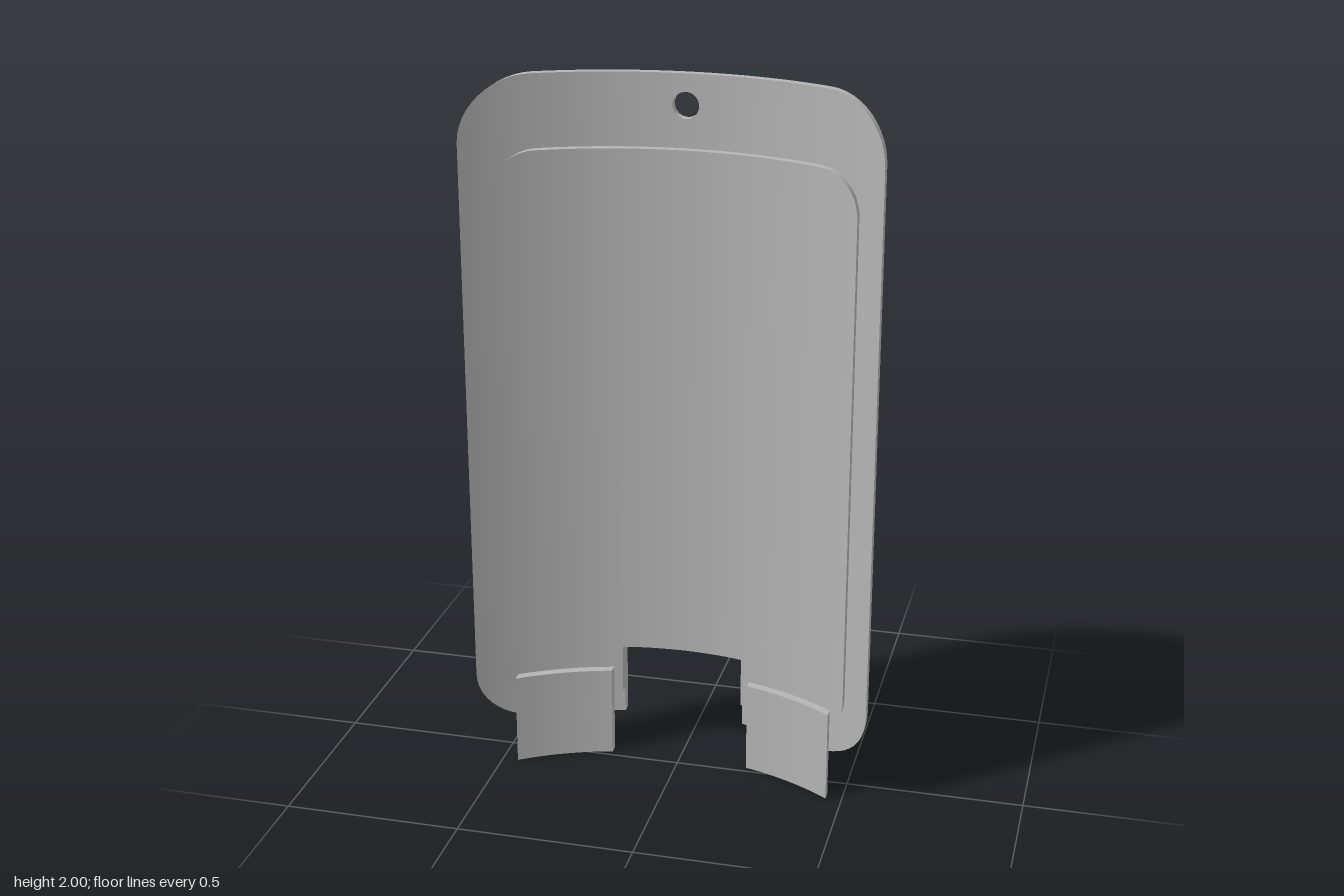
import * as THREE from 'three';
import { mergeGeometries, toCreasedNormals } from 'three/addons/utils/BufferGeometryUtils.js';

const AXIS_Z = 0.76;                       // all layers curve about this upright axis
const NOTCH_X = 0.175, NOTCH_Y = 0.33;
const HOLE_R = 0.036, HOLE_Y = 1.915;

const onArc = (x, y, r) => [x, y, AXIS_Z - Math.sqrt(r * r - x * x)];

function span(a, b, n) {
  return Array.from({ length: n + 1 }, (_, i) => a + (b - a) * i / n);
}

// Strip of quads between two rows of points
function ribbon(a, b) {
  const n = a.length, index = [];
  for (let i = 0; i < n - 1; i++) index.push(i, i + 1, n + i + 1, i, n + i + 1, n + i);
  const g = new THREE.BufferGeometry();
  g.setAttribute('position', new THREE.Float32BufferAttribute([...a, ...b].flat(), 3));
  g.setIndex(index);
  return g;
}

// Curved slab between heights lo(x) and hi(x), from radius rIn (front) to rOut (back).
// capL and capR give the heights of the end walls, if any.
function slab(xs, lo, hi, rIn, rOut, capL, capR) {
  const row = (f, r) => xs.map(x => onArc(x, f(x), r));
  const loF = row(lo, rIn), hiF = row(hi, rIn), loB = row(lo, rOut), hiB = row(hi, rOut);
  const parts = [ribbon(loF, hiF), ribbon(hiB, loB), ribbon(hiF, hiB), ribbon(loB, loF)];
  const edge = (x, y, rs) => rs.map(r => onArc(x, y, r));
  if (capL) parts.push(ribbon(edge(xs[0], capL[0], [rOut, rIn]), edge(xs[0], capL[1], [rOut, rIn])));
  const xe = xs[xs.length - 1];
  if (capR) parts.push(ribbon(edge(xe, capR[0], [rIn, rOut]), edge(xe, capR[1], [rIn, rOut])));
  return parts;
}

// Rounded plate with the bottom notch and, optionally, the round hole
function plate({ halfW, y0, y1, rx, ry, rIn, rOut, hole }) {
  const drop = x => {
    const t = Math.max(0, (Math.abs(x) - halfW + rx) / rx);
    return ry * (1 - Math.sqrt(Math.max(0, 1 - t * t)));
  };
  const lo = x => y0 + drop(x), hi = x => y1 - drop(x), notch = () => NOTCH_Y;
  const corner = span(0, Math.PI / 2, 12).slice(1).map(t => halfW - rx + rx * Math.sin(t));
  const right = [...span(NOTCH_X, halfW - rx, 8), ...corner];
  const left = right.map(x => -x).reverse();
  const side = [y0 + ry, y1 - ry], inner = [y0, NOTCH_Y];
  const parts = [
    ...slab(right, lo, hi, rIn, rOut, inner, side),
    ...slab(left, lo, hi, rIn, rOut, side, inner),
  ];
  if (hole) {
    const xs = span(0, Math.PI, 24).map(t => -HOLE_R * Math.cos(t));
    const h = x => Math.sqrt(Math.max(0, HOLE_R * HOLE_R - x * x));
    parts.push(
      ...slab(span(-NOTCH_X, -HOLE_R, 5), notch, hi, rIn, rOut),
      ...slab(span(HOLE_R, NOTCH_X, 5), notch, hi, rIn, rOut),
      ...slab(xs, notch, x => HOLE_Y - h(x), rIn, rOut),
      ...slab(xs, x => HOLE_Y + h(x), hi, rIn, rOut),
    );
  } else {
    parts.push(...slab(span(-NOTCH_X, NOTCH_X, 12), notch, hi, rIn, rOut));
  }
  return parts;
}

export function createModel() {
  const group = new THREE.Group();
  const grey = new THREE.MeshStandardMaterial({ color: 0xb4b4b4 });
  grey.name = 'grey';

  const add = (name, parts) => {
    const mesh = new THREE.Mesh(toCreasedNormals(mergeGeometries(parts), Math.PI / 6), grey);
    mesh.name = name;
    group.add(mesh);
  };

  // Outer plate with hanging hole
  add('backPlate', plate({
    halfW: 0.565, y0: 0.11, y1: 2, rx: 0.165, ry: 0.17, rIn: 0.855, rOut: 0.881, hole: true,
  }));

  // Smaller raised layer on the hollow side
  add('raisedPanel', plate({
    halfW: 0.495, y0: 0.185, y1: 1.8, rx: 0.11, ry: 0.115, rIn: 0.83, rOut: 0.855,
  }));

  // Two tabs below, either side of the notch
  const tabY = [0, 0.265];
  for (const [name, a, b] of [['leftTab', 0.2, 0.455], ['rightTab', -0.455, -0.2]]) {
    add(name, slab(span(a, b, 10), () => tabY[0], () => tabY[1], 0.805, 0.83, tabY, tabY));
  }
  return group;
}
